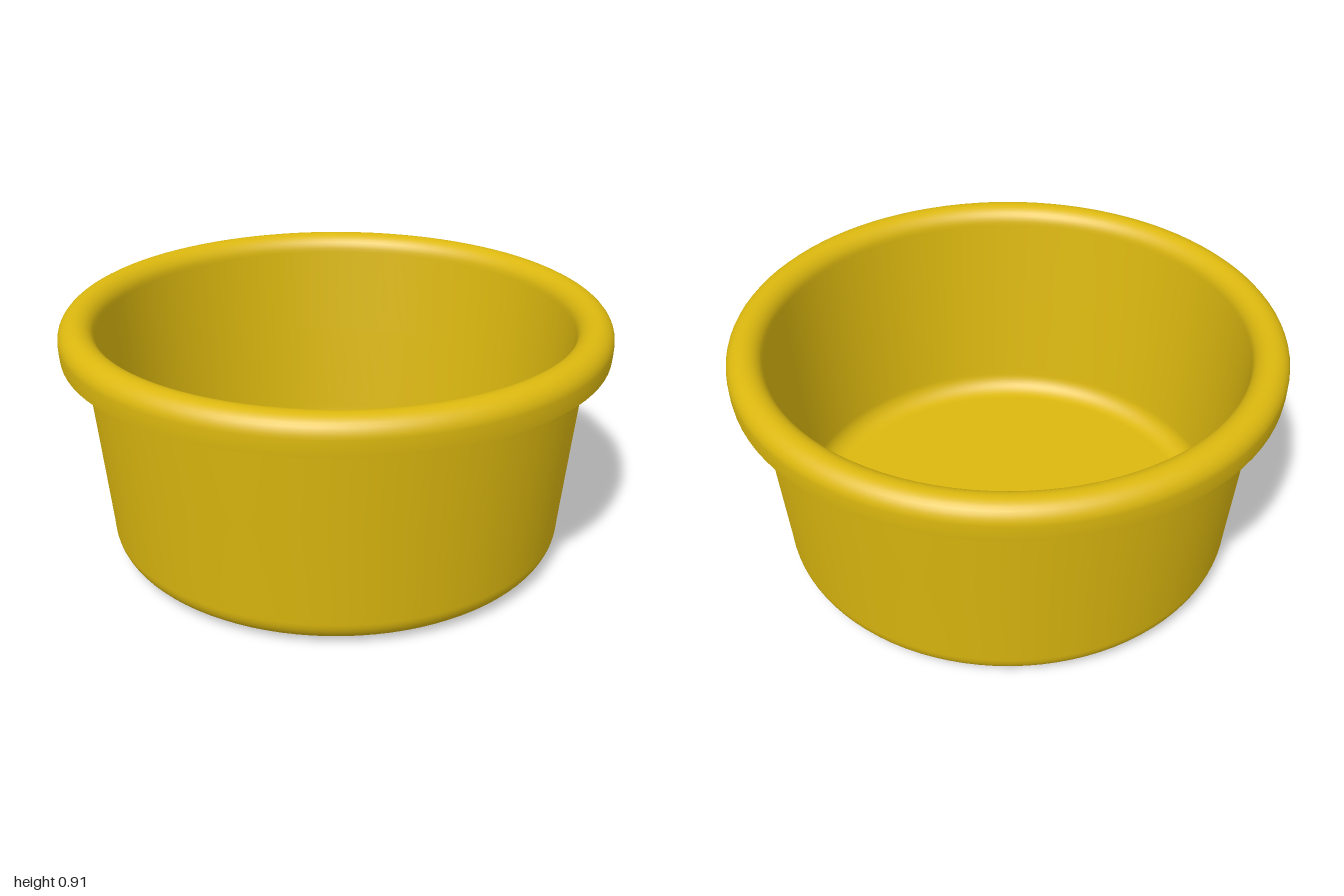
import * as THREE from 'three';

export function createModel() {
  const group = new THREE.Group();
  const yellow = new THREE.MeshStandardMaterial({ color: 0xdcb80f });
  yellow.name = 'mustardYellow';

  // Points on a circular arc, angles in degrees
  const arc = (cx, cy, r, from, to, n = 10) =>
    Array.from({ length: n + 1 }, (_, i) => {
      const a = THREE.MathUtils.degToRad(from + ((to - from) * i) / n);
      return [cx + r * Math.cos(a), cy + r * Math.sin(a)];
    });

  // Each profile section is its own lathe, so the edges between sections stay sharp
  const turn = (name, profile) => {
    const points = profile.map(([x, y]) => new THREE.Vector2(x, y));
    const mesh = new THREE.Mesh(new THREE.LatheGeometry(points, 96), yellow);
    mesh.name = name;
    group.add(mesh);
  };

  // Slightly domed base, rounded corner and flared outer wall, up into the rim
  turn('outerWall', [
    [0, 0], [0.44, 0.003], [0.74, 0.01],
    ...arc(0.755, 0.105, 0.095, -88, -5),
    [0.852, 0.13], [0.884, 0.47], [0.915, 0.785], [0.92, 0.86],
  ]);

  // Hollow underside of the rolled rim
  turn('rimUnderside', [[0.92, 0.86], ...arc(0.935, 0.845, 0.033, 90, 0, 5), [0.97, 0.785]]);
  turn('rimEdge', [[0.97, 0.785], [0.996, 0.785]]);

  // Rolled rim: lip, rounded top and inner shoulder
  turn('rim', [[0.996, 0.785], [0.999, 0.81], ...arc(0.935, 0.845, 0.065, 0, 180, 16)]);

  // Inner wall, rounded corner and floor
  turn('innerWall', [
    [0.87, 0.845], [0.842, 0.5], [0.812, 0.16],
    ...arc(0.73, 0.14, 0.08, -5, -90),
    [0.6, 0.06], [0, 0.06],
  ]);

  return group;
}
